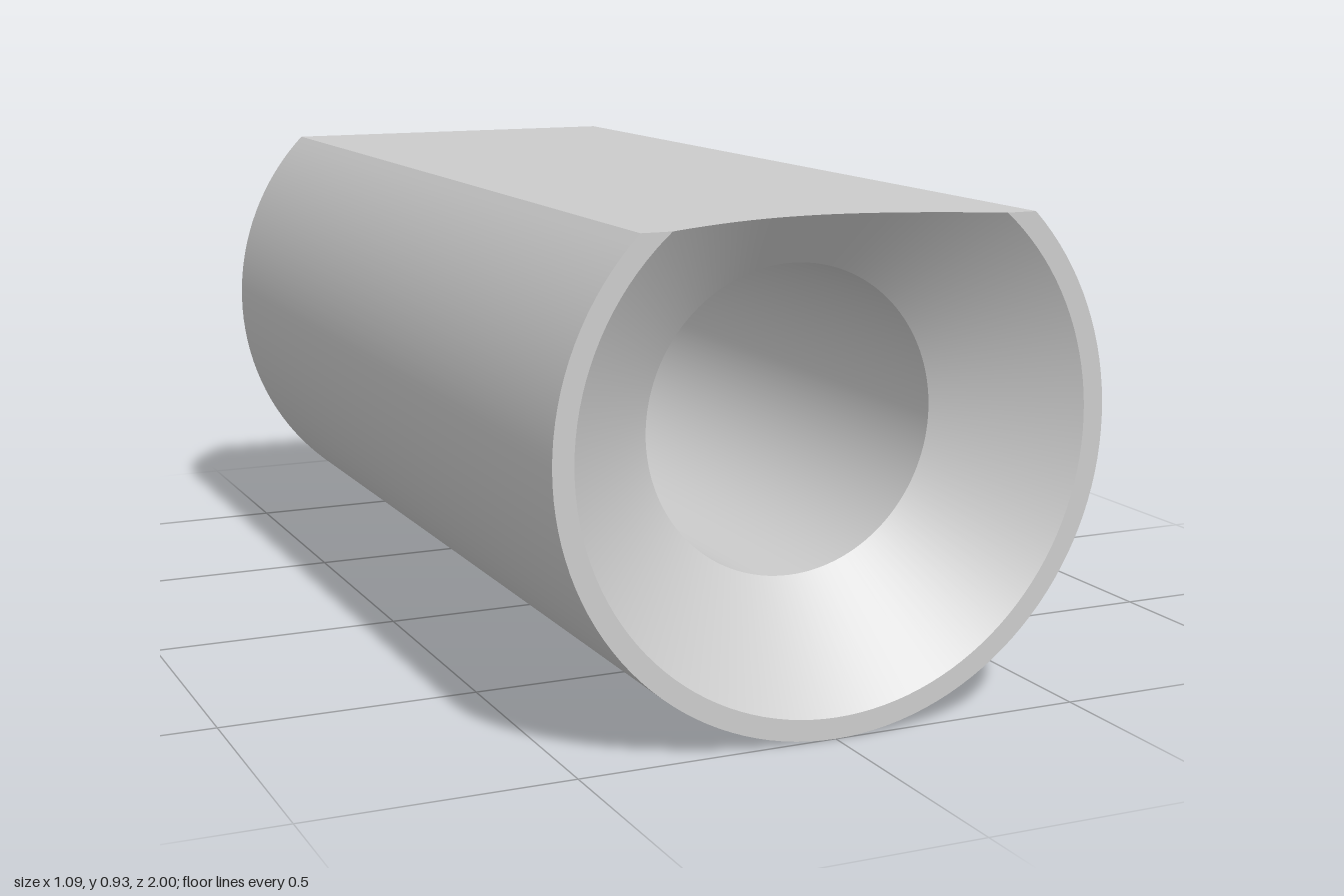
import * as THREE from 'three';

const R = 0.545, FLAT = 0.385, BORE = 0.29, MOUTH = 0.505; // radii and height of the flat above the axis
const SEAT = 0.812, SLOPE = (1 - SEAT) / (MOUTH - BORE);   // where the countersink meets the bore
const CORNER = Math.acos(FLAT / R), LIP = Math.acos(FLAT / MOUTH);

// evenly spaced angles from a to b, measured from straight up
const span = (a, b, n) => Array.from({ length: n + 1 }, (_, i) => a + (b - a) * i / n);

// closed lengthwise section [radius, z] of the wall at angle t
function section(t) {
  const c = Math.cos(t);
  const outer = c > Math.cos(CORNER) ? FLAT / c : R;
  const mouth = Math.min(MOUTH, outer);
  const lipZ = SEAT + (mouth - BORE) * SLOPE;
  return {
    outerFront: [outer, lipZ], outerBack: [outer, -1],
    boreBack: [BORE, -1], boreFront: [BORE, SEAT], mouth: [mouth, lipZ],
  };
}

// surface swept between two section points over a list of angles
function strip(name, angles, from, to, closed = false) {
  const pos = [], index = [], n = angles.length;
  for (const t of angles) {
    const s = section(t);
    for (const [r, z] of [s[from], s[to]]) pos.push(r * Math.sin(t), R + r * Math.cos(t), z);
  }
  for (let i = 0; i < (closed ? n : n - 1); i++) {
    const a = 2 * i, b = 2 * ((i + 1) % n);
    index.push(a, b, b + 1, a, b + 1, a + 1);
  }
  const geo = new THREE.BufferGeometry();
  geo.setAttribute('position', new THREE.Float32BufferAttribute(pos, 3));
  geo.setIndex(index);
  geo.computeVertexNormals();
  const mesh = new THREE.Mesh(geo, new THREE.MeshStandardMaterial({ color: 0xcccccc }));
  mesh.name = name;
  return mesh;
}

export function createModel() {
  const group = new THREE.Group();
  group.name = 'flattenedSleeve';

  const edge = span(LIP, CORNER, 2);
  const lipArc = span(-LIP, LIP, 32);
  const flat = [...edge.slice(1).reverse().map(t => -t), ...lipArc, ...edge.slice(1)];
  const round = span(CORNER, 2 * Math.PI - CORNER, 96);
  const ring = [...flat, ...round.slice(1, -1)];
  const rim = [...edge.slice(0, -1), ...round, ...edge.slice(0, -1).reverse().map(t => 2 * Math.PI - t)];

  group.add(
    strip('flatTop', flat, 'outerFront', 'outerBack'),
    strip('roundWall', round, 'outerFront', 'outerBack'),
    strip('backFace', ring, 'outerBack', 'boreBack', true),
    strip('bore', ring, 'boreBack', 'boreFront', true),
    strip('countersink', ring, 'boreFront', 'mouth', true),
  );

  // narrow front rim, broken where the countersink cuts the flat
  const front = strip('frontRim', rim, 'mouth', 'outerFront');
  group.add(front);
  return group;
}
